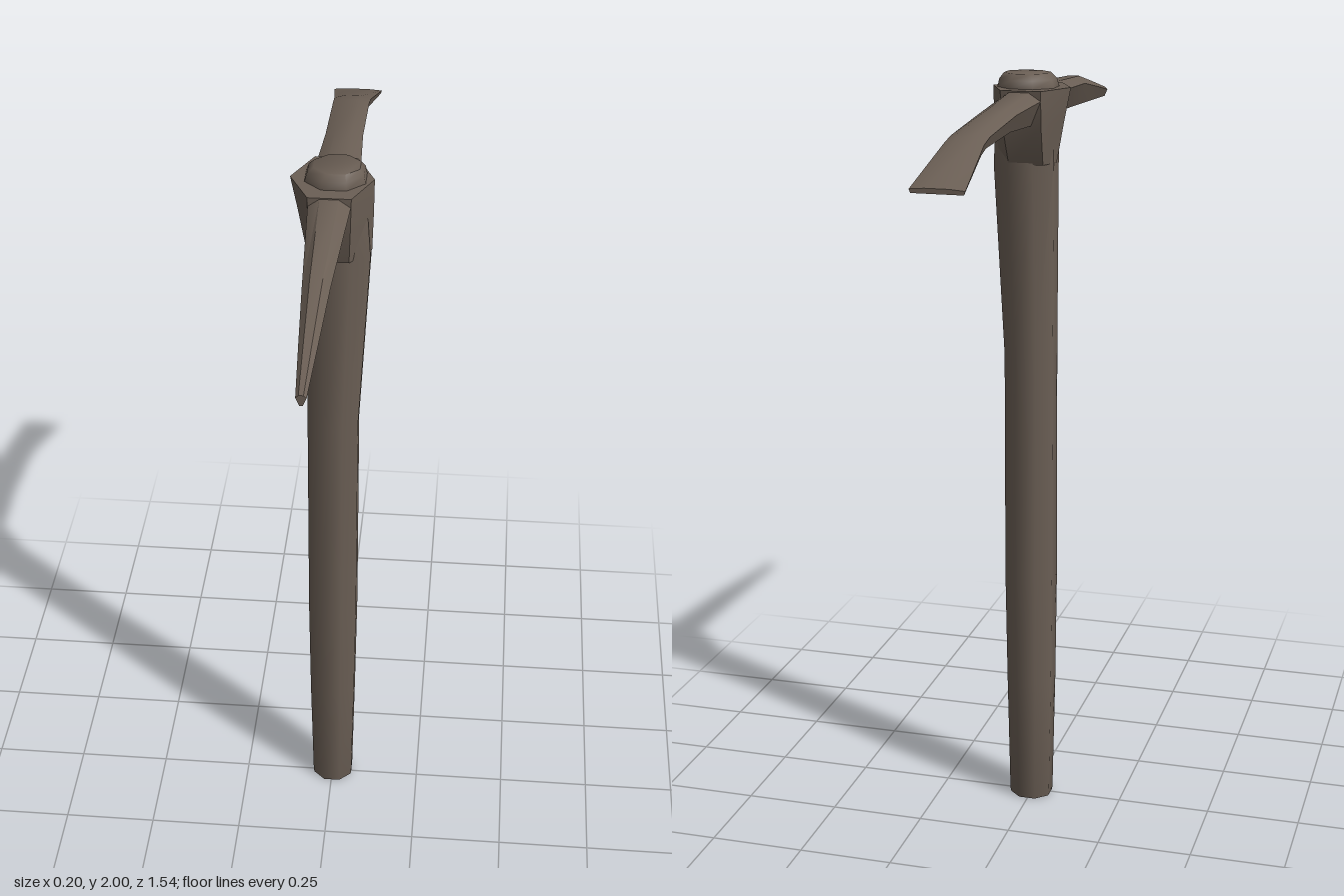
import * as THREE from 'three';
import { toCreasedNormals } from 'three/addons/utils/BufferGeometryUtils.js';

// Skin a list of rings (each counter-clockwise seen from the end of the path) and cap both ends
function loft(rings, crease) {
  const n = rings[0].length;
  const pos = [];
  const tri = (a, b, c) => pos.push(...a, ...b, ...c);
  for (let r = 0; r < rings.length - 1; r++) {
    const p = rings[r], q = rings[r + 1];
    for (let i = 0; i < n; i++) {
      const j = (i + 1) % n;
      tri(p[i], p[j], q[j]);
      tri(p[i], q[j], q[i]);
    }
  }
  const first = rings[0], last = rings[rings.length - 1];
  for (let i = 1; i < n - 1; i++) {
    tri(first[0], first[i + 1], first[i]);
    tri(last[0], last[i], last[i + 1]);
  }
  const g = new THREE.BufferGeometry();
  g.setAttribute('position', new THREE.Float32BufferAttribute(pos, 3));
  return toCreasedNormals(g, crease);
}

export function createModel() {
  const model = new THREE.Group();
  const brown = new THREE.MeshStandardMaterial({ color: 0x6b5f55 });
  brown.name = 'weathered brown';
  const add = (name, geometry) => {
    const mesh = new THREE.Mesh(geometry, brown);
    mesh.name = name;
    model.add(mesh);
  };

  // Handle: eight-sided shaft, [y, x min, x max, z min, z max]
  const shaft = [
    [0, -0.052, 0.055, -0.055, 0.042],
    [0.01, -0.054, 0.057, -0.057, 0.043],
    [0.35, -0.06, 0.063, -0.067, 0.053],
    [0.65, -0.063, 0.067, -0.073, 0.058],
    [1.27, -0.063, 0.067, -0.067, 0.048],
    [1.77, -0.064, 0.094, -0.067, 0.053],
    [1.965, -0.066, 0.08, -0.082, 0.053],
    [1.985, -0.06, 0.076, -0.078, 0.05],
    [2.0, -0.045, 0.066, -0.062, 0.038],
  ];
  add('handle', loft(shaft.map(([y, x0, x1, z0, z1]) => {
    const ring = [];
    for (let i = 0; i < 8; i++) {
      const a = (i + 0.5) * Math.PI / 4, k = 1 / Math.cos(Math.PI / 8);
      ring.push([
        (x0 + x1) / 2 + Math.cos(a) * k * (x1 - x0) / 2,
        y,
        (z0 + z1) / 2 - Math.sin(a) * k * (z1 - z0) / 2,
      ]);
    }
    return ring;
  }), 0.9));

  // Eye: flared hexagonal collar, [y, x left, x right, corner x, z back, z front]
  const eye = [
    [1.775, -0.066, 0.096, 0.045, -0.066, 0.06],
    [1.88, -0.085, 0.099, 0.05, -0.105, 0.09],
    [1.965, -0.102, 0.1, 0.052, -0.115, 0.092],
  ];
  add('eyeCollar', loft(eye.map(([y, xl, xr, c, zb, zf]) => [
    [xr, y, -0.01], [c, y, zb], [-c, y, zb],
    [xl, y, -0.01], [-c, y, zf], [c, y, zf],
  ]), 0.5));

  // Arms: ridged top and narrower underside, [z, y top, y bottom, half width, underside ratio]
  const arm = ([z, top, bottom, w, k, x = 0.004]) => {
    const shoulder = top - (top - bottom) * 0.25;
    return [
      [x + w, shoulder, z], [x + w * 0.45, top, z], [x - w * 0.45, top, z],
      [x - w, shoulder, z], [x - w * k, bottom, z], [x + w * k, bottom, z],
    ];
  };
  add('adzeArm', loft([
    [-0.77, 1.832, 1.82, 0.065, 0.95],
    [-0.57, 1.908, 1.876, 0.048, 0.85],
    [-0.52, 1.92, 1.885, 0.047, 0.8],
    [-0.3, 1.945, 1.89, 0.047, 0.65],
    [-0.1, 1.962, 1.878, 0.056, 0.5],
    [0, 1.968, 1.84, 0.06, 0.5],
  ].map(arm), 0.7));
  add('pointArm', loft([
    [0, 1.968, 1.84, 0.058, 0.4, 0],
    [0.09, 1.962, 1.882, 0.051, 0.4, 0],
    [0.42, 1.943, 1.864, 0.032, 0.3, 0],
    [0.6, 1.907, 1.855, 0.022, 0.3, 0],
    [0.77, 1.872, 1.846, 0.012, 0.3, 0],
  ].map(arm), 0.7));

  return model;
}
